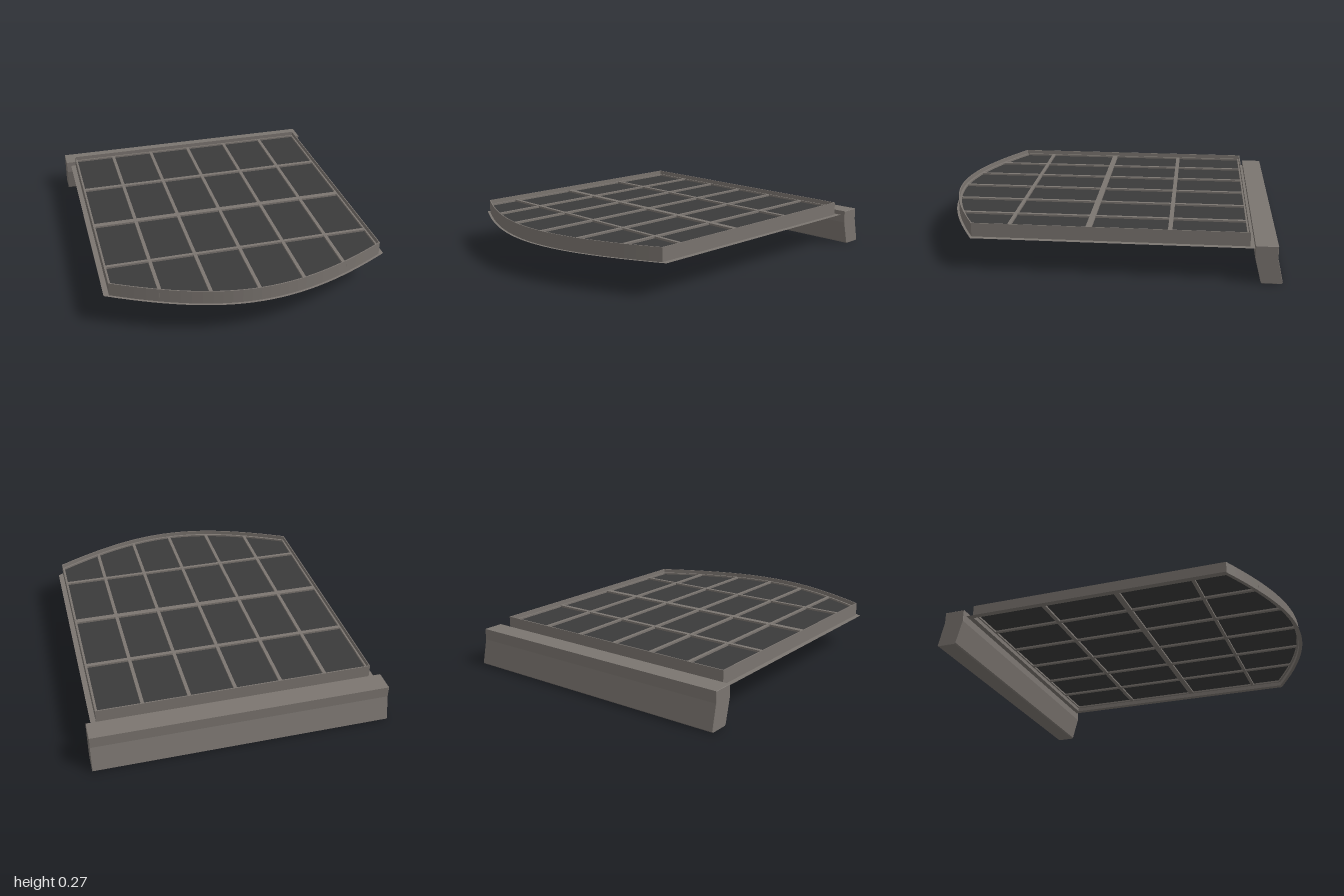
import * as THREE from 'three';

const frameMat = new THREE.MeshStandardMaterial({ color: 0x7b7570, side: THREE.DoubleSide });
frameMat.name = 'warm grey frame';
const panelMat = new THREE.MeshStandardMaterial({ color: 0x3a3a3a });
panelMat.name = 'dark panel';

const MID = 0.23; // height of the panel, halfway up the frame

// Plan outline: straight back and sides, bowed front edge (shape y = model z)
function trace(path, halfWidth, back, corner, apex) {
  const ctrl = (apex - 0.25 * corner) / 0.75;
  path.moveTo(-halfWidth, back);
  path.lineTo(halfWidth, back);
  path.lineTo(halfWidth, corner);
  path.bezierCurveTo(0.18, ctrl, -0.18, ctrl, -halfWidth, corner);
  path.closePath();
  return path;
}

function outline(outer, inner) {
  const shape = trace(new THREE.Shape(), ...outer);
  if (inner) shape.holes.push(trace(new THREE.Path(), ...inner));
  return shape;
}

// Horizontal slab or ring between two heights
function slab(name, material, bottom, top, outer, inner) {
  const geo = new THREE.ExtrudeGeometry(outline(outer, inner), {
    depth: top - bottom, bevelEnabled: false, curveSegments: 28
  });
  geo.rotateX(Math.PI / 2).translate(0, top, 0);
  const mesh = new THREE.Mesh(geo, material);
  mesh.name = name;
  return mesh;
}

function box(name, w, h, d, x, y, z) {
  const mesh = new THREE.Mesh(new THREE.BoxGeometry(w, h, d), frameMat);
  mesh.name = name;
  mesh.position.set(x, y, z);
  return mesh;
}

export function createModel() {
  const model = new THREE.Group();
  model.name = 'framedPanel';

  // Nested outlines: half width, back z, front corner z, front apex z
  const flangeOut = [0.83, -0.85, 0.73, 0.995];
  const wallOut = [0.80, -0.82, 0.73, 0.98];
  const wallIn = [0.795, -0.814, 0.726, 0.974];
  const ledgeIn = [0.785, -0.805, 0.718, 0.962];

  model.add(
    slab('frameWall', frameMat, 0.19, 0.27, wallOut, wallIn),
    slab('innerLedge', frameMat, MID - 0.015, MID + 0.015, wallIn, ledgeIn),
    slab('panel', panelMat, MID - 0.004, MID + 0.004, wallIn)
  );

  // Paper-thin flange around the foot of the wall
  const flange = new THREE.Mesh(new THREE.ShapeGeometry(outline(flangeOut, wallIn), 28), frameMat);
  flange.name = 'flange';
  flange.geometry.scale(1, -1, 1).rotateX(-Math.PI / 2).translate(0, 0.19, 0);
  const index = flange.geometry.index.array;
  for (let i = 0; i < index.length; i += 3) [index[i], index[i + 1]] = [index[i + 1], index[i]];
  flange.geometry.computeVertexNormals();
  model.add(flange);

  // Lengthwise glazing bars, ending at the bowed front
  const ends = [0.967, 0.935, 0.855];
  for (let i = -2; i <= 2; i++) {
    const end = ends[Math.abs(i)];
    model.add(box('lengthwiseBar', 0.02, 0.03, end + 0.81, i * 0.267, MID, (end - 0.81) / 2));
  }

  // Crosswise glazing bars, the middle one wider
  for (const [z, width] of [[-0.38, 0.024], [0.077, 0.034], [0.53, 0.02]]) {
    model.add(box('crosswiseBar', 1.58, 0.031, width, 0, MID, z));
  }

  // Rear rail with a slanted lower half; profile is (-z, y)
  const profile = new THREE.Shape([
    [0.847, 0.215], [0.847, 0.145], [0.882, 0.008], [0.888, 0.002],
    [0.992, 0.002], [0.998, 0.008], [0.966, 0.15], [0.966, 0.215]
  ].map(([a, b]) => new THREE.Vector2(a, b)));
  const railGeo = new THREE.ExtrudeGeometry(profile, {
    depth: 1.716, bevelEnabled: true, bevelThickness: 0.002, bevelSize: 0.002, bevelSegments: 1
  });
  railGeo.translate(0, 0, -0.858).rotateY(Math.PI / 2);
  const rail = new THREE.Mesh(railGeo, frameMat);
  rail.name = 'rearRail';
  model.add(rail);

  return model;
}
